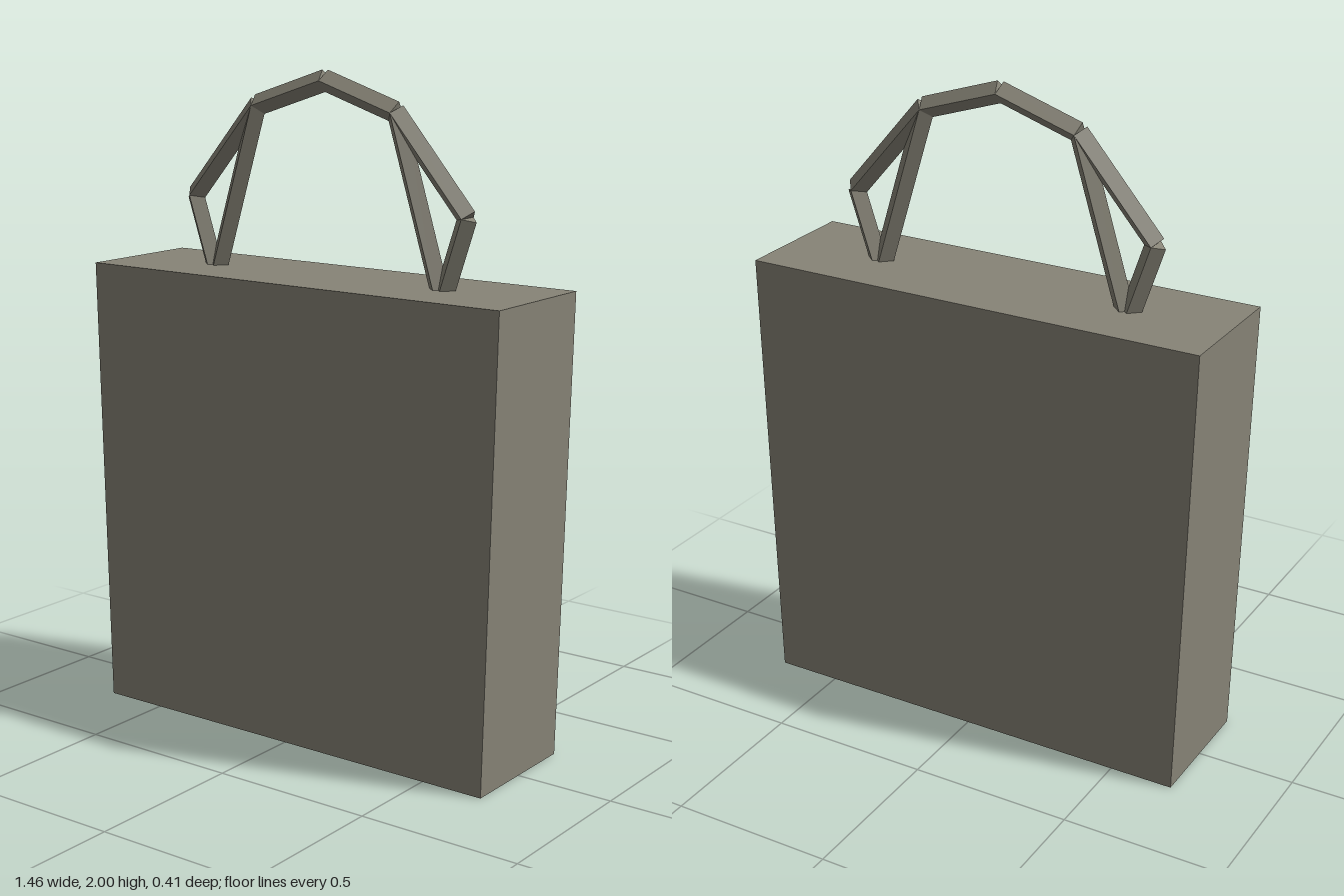
import * as THREE from 'three';

export function createModel() {
  const model = new THREE.Group();
  model.name = 'toteBag';
  const material = new THREE.MeshStandardMaterial({ color: 0x878477, flatShading: true });

  // Bag body: a slab slightly wider at the top
  const bodyGeo = new THREE.BoxGeometry(1.396, 1.396, 0.408);
  bodyGeo.translate(0, 0.698, 0);
  const pos = bodyGeo.attributes.position;
  for (let i = 0; i < pos.count; i++) {
    if (pos.getY(i) > 0.7) pos.setX(i, Math.sign(pos.getX(i)) * 0.73);
  }
  bodyGeo.computeVertexNormals();
  const body = new THREE.Mesh(bodyGeo, material);
  body.name = 'body';
  model.add(body);

  // Handle: straight diamond-section bars between joints, mirrored
  const handle = new THREE.Group();
  handle.name = 'handle';
  model.add(handle);

  function bar(name, a, b) {
    const from = new THREE.Vector3(a[0], a[1], 0);
    const dir = new THREE.Vector3(b[0], b[1], 0).sub(from);
    const mesh = new THREE.Mesh(new THREE.CylinderGeometry(0.032, 0.032, dir.length(), 4), material);
    mesh.name = name;
    mesh.position.copy(from).addScaledVector(dir, 0.5);
    mesh.rotation.z = Math.atan2(-dir.x, dir.y);
    handle.add(mesh);
  }

  for (const [side, s] of [['left', 1], ['right', -1]]) {
    const base = [s * 0.413, 1.36];
    const elbow = [s * 0.494, 1.604];
    const shoulder = [s * 0.25, 1.886];
    const crown = [0, 1.967];
    bar(side + 'OuterLeg', base, elbow);
    bar(side + 'Slope', elbow, shoulder);
    bar(side + 'TopBar', shoulder, crown);
    bar(side + 'InnerLeg', base, shoulder);
  }

  return model;
}
